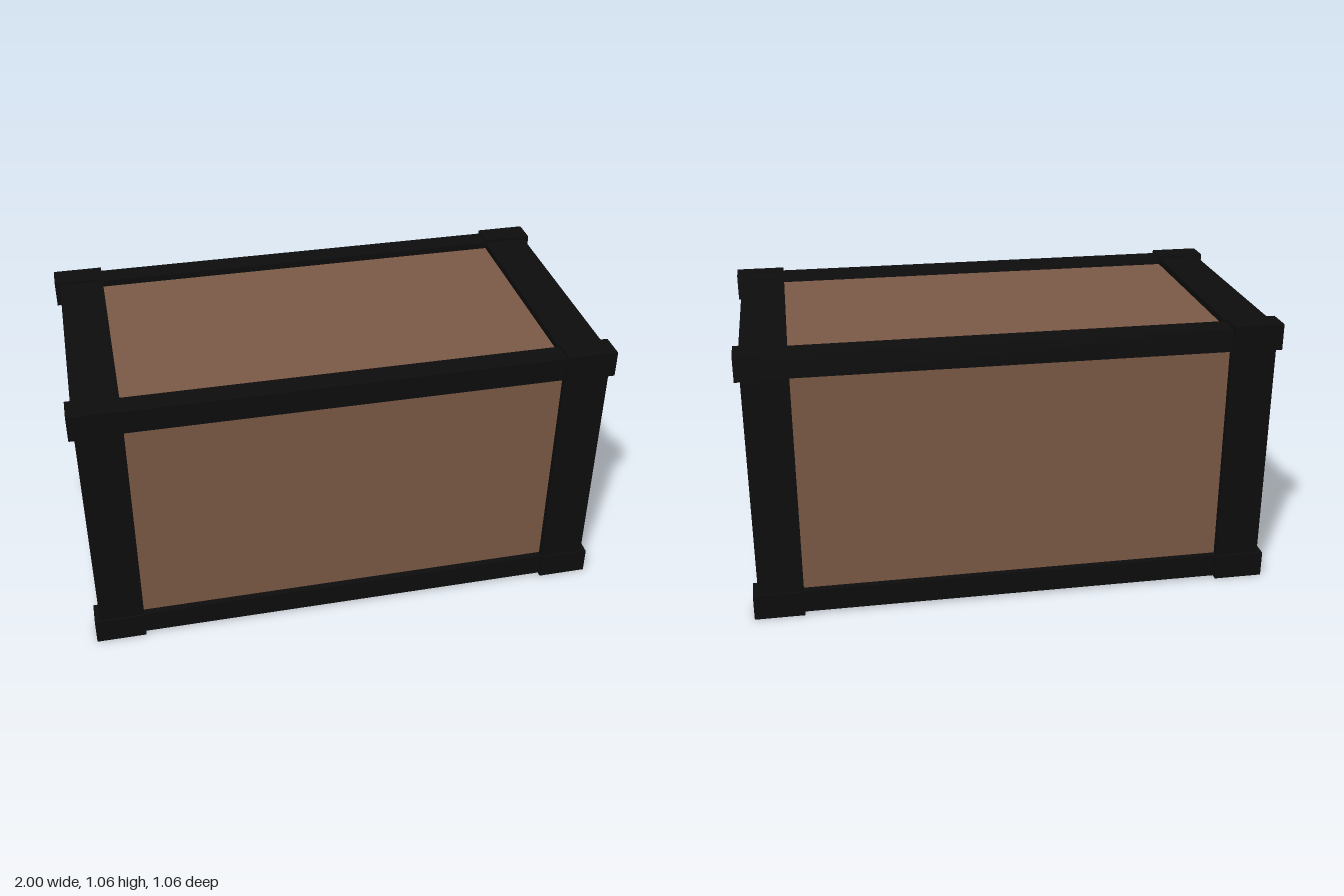
import * as THREE from 'three';

export function createModel() {
  const model = new THREE.Group();
  const wood = new THREE.MeshStandardMaterial({ color: 0x7d5b47 });
  const iron = new THREE.MeshStandardMaterial({ color: 0x0d0d0d });
  const MID = 0.53; // height of the crate's centre

  function box(name, material, size, x, y, z) {
    const mesh = new THREE.Mesh(new THREE.BoxGeometry(...size), material);
    mesh.name = name;
    mesh.position.set(x, MID + y, z);
    model.add(mesh);
  }

  // Recessed wooden body
  box('woodenBody', wood, [1.88, 0.99, 0.99], 0, 0, 0);

  for (const a of [-1, 1]) {
    for (const b of [-1, 1]) {
      // Edge beams in each direction, running between the corner blocks
      box('longRail', iron, [1.62, 0.09, 0.09], 0, a * 0.475, b * 0.475);
      box('cornerPost', iron, [0.17, 0.86, 0.09], a * 0.895, 0, b * 0.475);
      box('endRail', iron, [0.17, 0.09, 0.86], a * 0.895, b * 0.475, 0);
      // Slightly proud corner blocks
      for (const c of [-1, 1]) {
        box('cornerBlock', iron, [0.19, 0.1, 0.1], a * 0.905, b * 0.48, c * 0.48);
      }
    }
  }
  return model;
}
